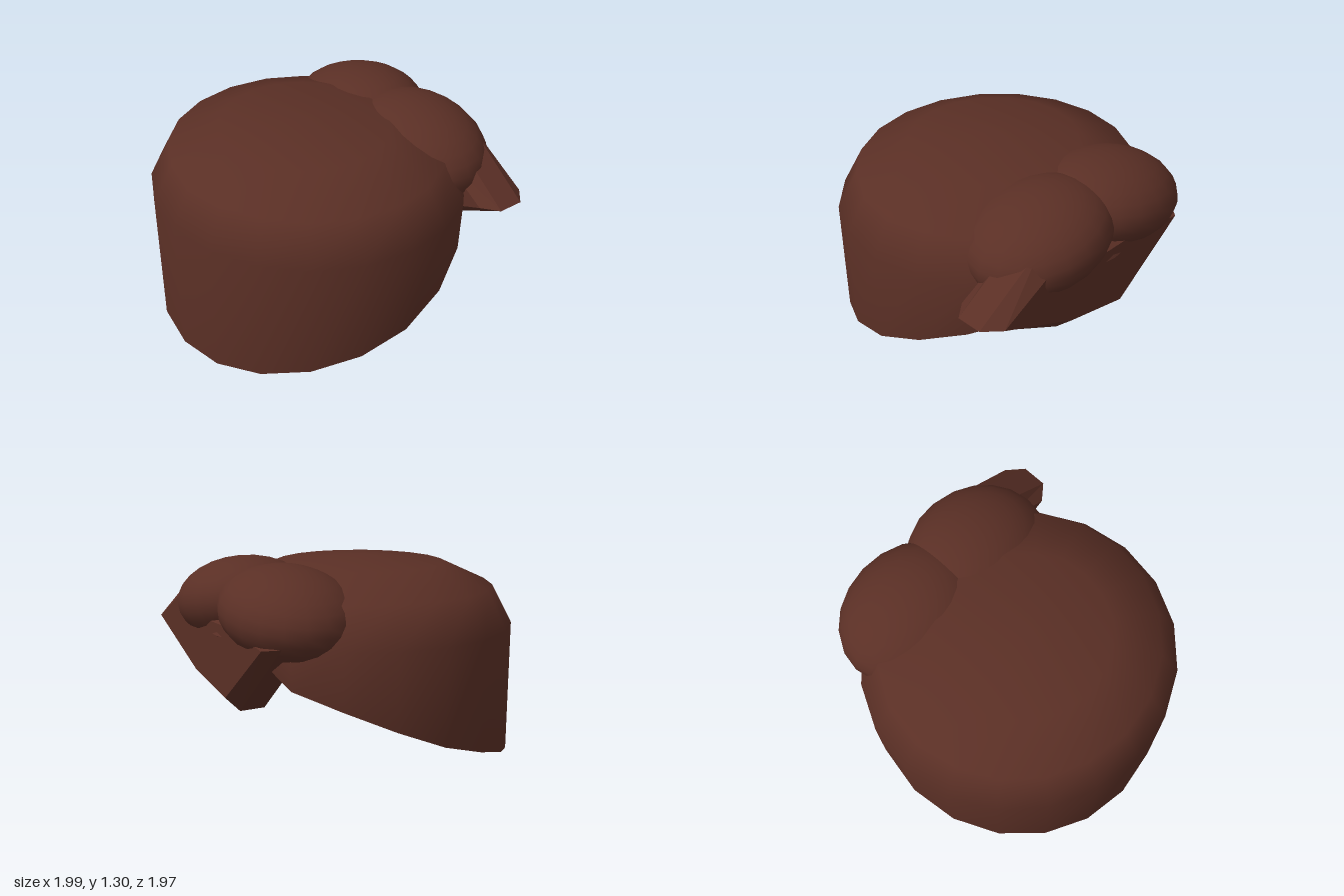
import * as THREE from 'three';

const hairMaterial = new THREE.MeshStandardMaterial({ color: 0x5a2f25, side: THREE.DoubleSide });
hairMaterial.name = 'brownHair';
const flatHairMaterial = hairMaterial;

function makeGeometry(positions, index) {
  const g = new THREE.BufferGeometry();
  g.setAttribute('position', new THREE.Float32BufferAttribute(positions, 3));
  g.setIndex(index);
  return g;
}

// Open shell: sloping rim, straight wall, rounded crown
function capGeometry() {
  const sides = 20;
  // Rim height every 18 degrees, from the brow to the nape
  const rim = [0.87, 0.86, 0.64, 0.54, 0.42, 0.3, 0.21, 0.13, 0.065, 0.02, 0.005];
  // [scale, height, centre x]; the first ring takes its height from the rim
  const rings = [[0.99, null, -0.04], [1, 0.88, -0.04], [0.87, 1.115, -0.045], [0.54, 1.25, -0.07]];
  const pos = [], index = [];
  for (const [scale, height, cx] of rings) {
    for (let i = 0; i < sides; i++) {
      const a = (i / sides) * Math.PI * 2;
      const y = height === null ? rim[Math.min(i, sides - i)] : height;
      pos.push(cx + Math.cos(a) * 0.96 * scale, y, Math.sin(a) * 0.987 * scale);
    }
  }
  const apex = rings.length * sides;
  pos.push(-0.1, 1.288, 0);
  for (let i = 0; i < sides; i++) {
    const j = (i + 1) % sides;
    for (let r = 0; r < rings.length - 1; r++) {
      const a = r * sides + i, b = r * sides + j;
      index.push(a, a + sides, b, b, a + sides, b + sides);
    }
    index.push(apex - sides + i, apex, apex - sides + j);
  }
  const g = makeGeometry(pos, index);
  g.computeVertexNormals();
  return g;
}

// Chamfered slab lofted along x from [z, y] outlines
function fringeGeometry() {
  const inset = [[0.88, 0.86], [0.53, 1.05], [0.2, 0.95], [-0.2, 0.95], [-0.57, 0.89], [-0.09, 0.52], [0.33, 0.61]];
  const outer = [[0.98, 0.86], [0.52, 1.17], [0.2, 1.0], [-0.2, 1.0], [-0.64, 0.9], [-0.1, 0.43], [0.37, 0.53]];
  const rings = [[0.58, inset], [0.66, outer], [0.82, outer], [0.91, inset]];
  const n = inset.length, pos = [], index = [];
  for (const [x, outline] of rings) for (const [z, y] of outline) pos.push(x, y, z);
  for (let r = 0; r < rings.length - 1; r++) {
    for (let i = 0; i < n; i++) {
      const a = r * n + i, b = r * n + (i + 1) % n;
      index.push(a, b, a + n, b, b + n, a + n);
    }
  }
  const caps = THREE.ShapeUtils.triangulateShape(inset.map(([z, y]) => new THREE.Vector2(z, y)), []);
  const last = (rings.length - 1) * n;
  for (const [a, b, c] of caps) {
    index.push(a, b, c, last + a, last + c, last + b);
  }
  const g = makeGeometry(pos, index).toNonIndexed();
  g.computeVertexNormals();
  return g;
}

export function createModel() {
  const group = new THREE.Group();
  group.name = 'hairPiece';
  const add = (name, geometry, material = hairMaterial) => {
    const mesh = new THREE.Mesh(geometry, material);
    mesh.name = name;
    group.add(mesh);
    return mesh;
  };

  add('hairCap', capGeometry());

  // Pair of puffs over the brow, outer ends drooping
  for (const side of [1, -1]) {
    const puff = add(side > 0 ? 'leftPuff' : 'rightPuff', new THREE.SphereGeometry(1, 20, 14));
    puff.scale.set(0.4, 0.265, 0.475);
    puff.position.set(0.59, 1.03, side * 0.295);
    puff.rotation.x = side * 0.16;
  }

  add('sweptFringe', fringeGeometry(), flatHairMaterial);
  return group;
}
